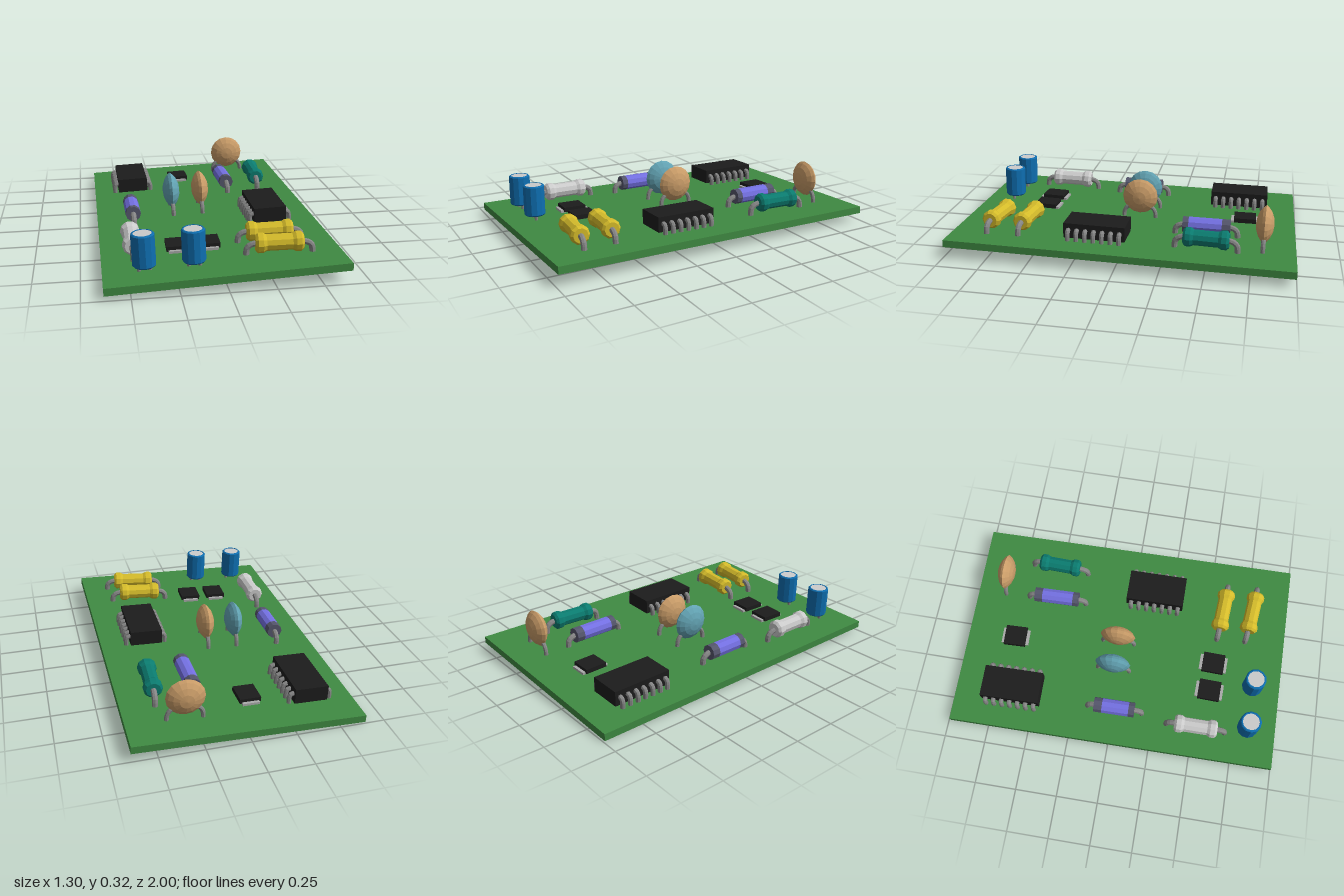
import * as THREE from 'three';

const mat = (color) => new THREE.MeshStandardMaterial({ color, flatShading: true });
const M = {
  board: mat(0x3f8a42), chip: mat(0x1c1c1c), lead: mat(0x858585), pad: mat(0xaaaaaa),
  blue: mat(0x0e6eb0), tan: mat(0xc99c68), paleBlue: mat(0x62a2b2), yellow: mat(0xd4bb2a),
  teal: mat(0x0b7c70), violet: mat(0x7470e2), band: mat(0x55566c), grey: mat(0xcccccc),
};

function add(parent, name, geometry, material, x = 0, y = 0, z = 0) {
  const mesh = new THREE.Mesh(geometry, material);
  mesh.name = name;
  mesh.position.set(x, y, z);
  parent.add(mesh);
  return mesh;
}

const lathe = (pts, sides) =>
  new THREE.LatheGeometry(pts.map(([r, y]) => new THREE.Vector2(r, y)), sides);

const wire = (pts, r) => new THREE.TubeGeometry(
  new THREE.CatmullRomCurve3(pts.map((p) => new THREE.Vector3(...p))), 7, r, 8);

// Pair of wires along x that bend down into the board
function bentLeads(g, inner, outer, h, r = 0.017) {
  for (const s of [-1, 1]) {
    const e = outer - r;
    add(g, 'lead', wire([[s * inner, h, 0], [s * (inner + (e - inner) * 0.5), h - 0.006, 0],
      [s * (e - 0.007), h * 0.62, 0], [s * e, -0.01, 0]], r), M.lead);
  }
}

// Dog-bone resistor lying along x
function resistor(material, h = 0.062) {
  const g = new THREE.Group();
  g.name = 'resistor';
  const L = 0.13;
  const body = add(g, 'resistorBody', lathe([[0, -L], [0.042, -L], [0.055, -L + 0.014], [0.055, -L + 0.042],
    [0.045, -L + 0.06], [0.045, L - 0.06], [0.055, L - 0.042], [0.055, L - 0.014], [0.042, L], [0, L]], 10),
  material, 0, h);
  body.rotation.z = -Math.PI / 2;
  bentLeads(g, L - 0.01, 0.197, h);
  return g;
}

// Glass diode lying along x with dark end bands
function diode(L) {
  const g = new THREE.Group();
  g.name = 'diode';
  const h = 0.06;
  const cyl = (name, x0, x1, m) => {
    const c = add(g, name, new THREE.CylinderGeometry(0.046, 0.046, x1 - x0, 10), m, (x0 + x1) / 2, h);
    c.rotation.z = Math.PI / 2;
  };
  cyl('diodeBand', -L, -L + 0.05, M.band);
  cyl('diodeBody', -L + 0.05, L - 0.035, M.violet);
  cyl('diodeBand', L - 0.035, L, M.band);
  bentLeads(g, L - 0.01, L + 0.062, h);
  return g;
}

// Lens-shaped capacitor, its disc in the local xy plane
function discCapacitor(material) {
  const g = new THREE.Group();
  g.name = 'discCapacitor';
  const half = [[0, 0.052], [0.04, 0.047], [0.073, 0.034], [0.097, 0.016]];
  const profile = [...half.map(([r, y]) => [r, -y]), [0.109, 0], ...half.slice().reverse()];
  const disc = add(g, 'disc', lathe(profile, 16), material, 0, 0.134);
  disc.rotation.x = Math.PI / 2;
  for (const s of [-1, 1]) {
    add(g, 'lead', wire([[s * 0.055, 0.075, 0], [s * 0.082, 0.058, 0],
      [s * 0.097, 0.03, 0], [s * 0.1, -0.01, 0]], 0.013), M.lead);
  }
  return g;
}

// Upright can with a recessed metal top
function canCapacitor() {
  const g = new THREE.Group();
  g.name = 'canCapacitor';
  add(g, 'can', lathe([[0, 0.026], [0.056, 0.026], [0.063, 0.034], [0.063, 0.202],
    [0.057, 0.208], [0.05, 0.208], [0.05, 0.2]], 12), M.blue);
  add(g, 'canTop', new THREE.CylinderGeometry(0.051, 0.051, 0.01, 12), M.grey, 0, 0.201);
  for (const s of [-1, 1]) {
    add(g, 'lead', new THREE.CylinderGeometry(0.01, 0.01, 0.04, 8), M.lead, s * 0.03, 0.012);
  }
  return g;
}

// Fourteen-pin chip, long along z
function pinChip() {
  const g = new THREE.Group();
  g.name = 'pinChip';
  add(g, 'chipBody', new THREE.BoxGeometry(0.192, 0.088, 0.36), M.chip, 0, 0.052);
  for (const s of [-1, 1]) {
    for (let i = -3; i <= 3; i++) {
      add(g, 'pin', wire([[s * 0.09, 0.056, i * 0.05], [s * 0.109, 0.055, i * 0.05],
        [s * 0.118, 0.04, i * 0.05], [s * 0.119, -0.005, i * 0.05]], 0.014), M.lead);
    }
  }
  return g;
}

// Flat chip with a contact strip at each end
function flatChip() {
  const g = new THREE.Group();
  g.name = 'flatChip';
  add(g, 'chipBody', new THREE.BoxGeometry(0.122, 0.027, 0.134), M.chip, 0, 0.0215);
  for (const s of [-1, 1]) {
    add(g, 'contact', new THREE.BoxGeometry(0.098, 0.014, 0.03), M.pad, 0, 0.009, s * 0.07);
  }
  return g;
}

export function createModel() {
  const model = new THREE.Group();
  model.name = 'circuitBoard';

  // Whole board rests slightly tilted
  const tilted = new THREE.Group();
  tilted.name = 'tiltedBoard';
  tilted.position.y = 0.08;
  tilted.rotation.set(-0.0125, 0, 0.037);
  model.add(tilted);
  const board = add(tilted, 'board', new THREE.BoxGeometry(1.286, 0.042, 1.988), M.board, 0, -0.021);
  board.rotation.y = 0.005;

  // Components: part, x, z, turn about y
  const Q = -Math.PI / 2;
  const layout = [
    [pinChip(), -0.393, -0.637, 0.013], [pinChip(), 0.37, 0.148, 0],
    [flatChip(), -0.063, -0.69, 0.03], [flatChip(), -0.22, 0.567, -0.03], [flatChip(), -0.044, 0.57, -0.03],
    [discCapacitor(M.tan), 0.316, -0.812, -0.03],
    [discCapacitor(M.tan), 0.005, -0.04, Q], [discCapacitor(M.paleBlue), -0.175, -0.042, Q],
    [diode(0.14), 0.225, -0.475, Q + 0.02], [diode(0.124), -0.428, 0.008, Q + 0.01],
    [resistor(M.teal, 0.068), 0.442, -0.493, Q - 0.035], [resistor(M.grey), -0.465, 0.513, Q],
    [resistor(M.yellow), 0.301, 0.585, -0.07], [resistor(M.yellow), 0.312, 0.767, -0.1],
    [canCapacitor(), -0.418, 0.824, 0.1], [canCapacitor(), -0.157, 0.824, -0.1],
  ];
  for (const [part, x, z, turn] of layout) {
    part.position.set(x, 0, z);
    part.rotation.y = turn;
    tilted.add(part);
  }
  return model;
}
